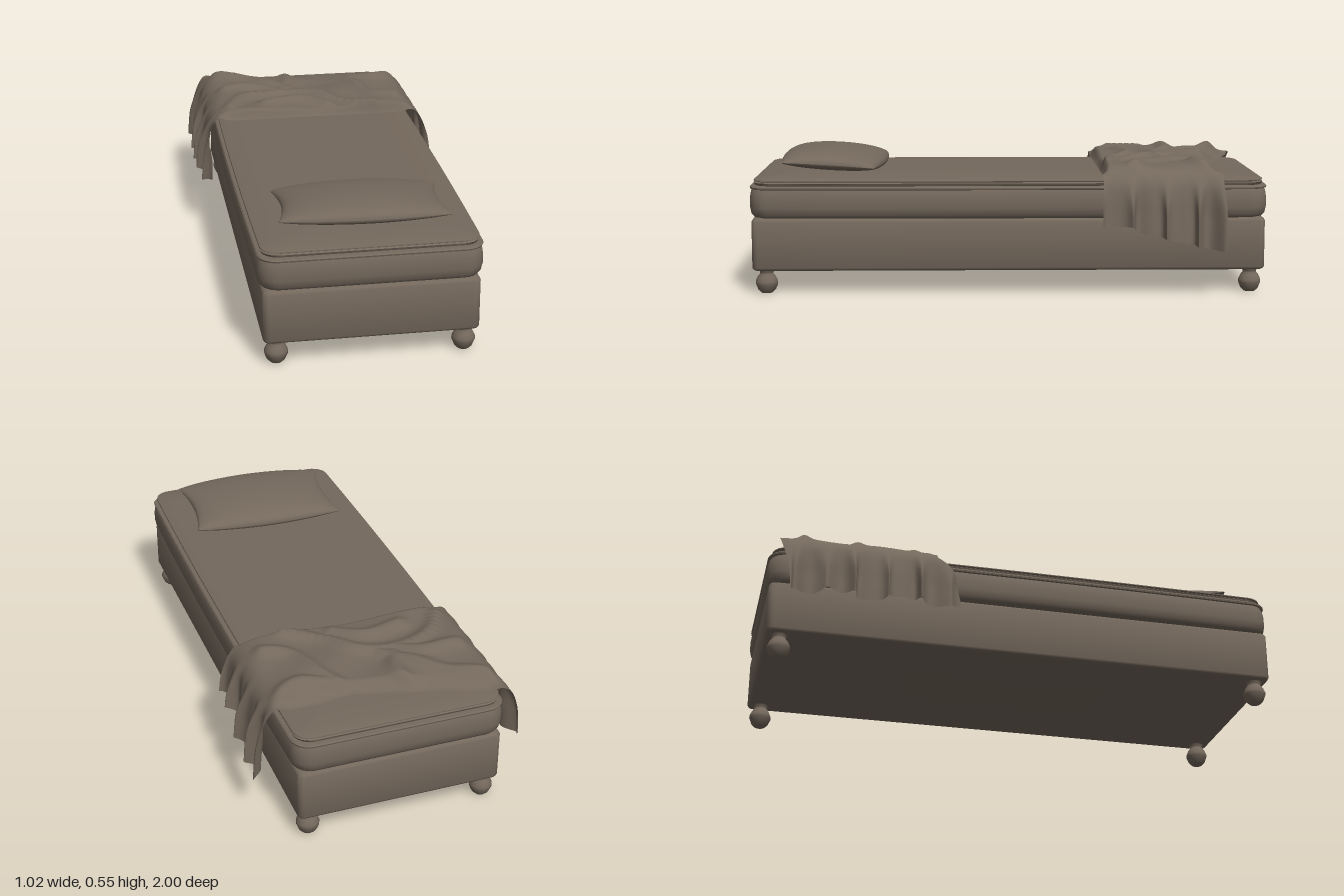
import * as THREE from 'three';
import { toCreasedNormals } from 'three/addons/utils/BufferGeometryUtils.js';

const taupe = new THREE.MeshStandardMaterial({ color: 0x74685c, side: THREE.DoubleSide });
taupe.name = 'taupe fabric';

function part(name, geometry, parent) {
  const mesh = new THREE.Mesh(geometry, taupe);
  mesh.name = name;
  parent.add(mesh);
  return mesh;
}

function indexed(positions, index) {
  const g = new THREE.BufferGeometry();
  g.setAttribute('position', new THREE.Float32BufferAttribute(positions, 3));
  g.setIndex(index);
  return g;
}

// Rounded rectangle outline in x/z, with extra points along the sides
function outline(hx, hz, r) {
  const pts = [];
  const corners = [[1, 1], [-1, 1], [-1, -1], [1, -1]];
  corners.forEach(([sx, sz], c) => {
    const arc = [];
    for (let i = 0; i <= 6; i++) {
      const a = (c + i / 6) * Math.PI / 2;
      arc.push([sx * (hx - r) + r * Math.cos(a), sz * (hz - r) + r * Math.sin(a)]);
    }
    pts.push(...arc);
    const [nx, nz] = corners[(c + 1) % 4];
    const a = (c + 1) * Math.PI / 2;
    const end = [nx * (hx - r) + r * Math.cos(a), nz * (hz - r) + r * Math.sin(a)];
    for (let i = 1; i < 8; i++) {
      pts.push([0, 1].map(k => arc[6][k] + (end[k] - arc[6][k]) * i / 8));
    }
  });
  return pts;
}

// Stack of rounded rectangles; profile rows are [y, inset]
function loft(profile, hx, hz, r, bulge = 0) {
  const pos = [], idx = [];
  let n = 0;
  for (const [y, inset] of profile) {
    const ring = outline(hx - inset, hz - inset, Math.max(r - inset * 0.5, 0.01));
    n = ring.length;
    for (const [x, z] of ring) pos.push(x * (1 + bulge * (1 - (z / hz) ** 2)), y, z);
  }
  const rows = profile.length, bottom = rows * n, top = bottom + 1;
  pos.push(0, profile[0][0], 0, 0, profile[rows - 1][0], 0);
  for (let i = 0; i < n; i++) {
    const j = (i + 1) % n;
    for (let k = 0; k < rows - 1; k++) {
      const a = k * n + i, b = k * n + j;
      idx.push(a, a + n, b, b, a + n, b + n);
    }
    idx.push(bottom, i, j, top, (rows - 1) * n + j, (rows - 1) * n + i);
  }
  return toCreasedNormals(indexed(pos, idx), 0.7);
}

// Pillow: two puffed sheets joined at a seam with pointed corners
function pillowGeometry() {
  const pos = [], idx = [], N = 28;
  for (const side of [1, -1]) {
    const start = pos.length / 3;
    for (let j = 0; j <= N; j++) for (let i = 0; i <= N; i++) {
      const u = Math.sin((i / N - 0.5) * Math.PI), v = Math.sin((j / N - 0.5) * Math.PI);
      const puff = Math.pow((1 - u * u) * (1 - v * v), 0.42);
      pos.push(u * (0.312 - 0.025 * (1 - v * v)), puff * (side > 0 ? 0.057 : -0.038),
        v * (0.177 + 0.025 * (1 - u * u)));
    }
    for (let j = 0; j < N; j++) for (let i = 0; i < N; i++) {
      const a = start + j * (N + 1) + i, b = a + 1, c = a + N + 1, d = c + 1;
      if (side > 0) idx.push(a, c, b, b, c, d);
      else idx.push(a, b, c, b, d, c);
    }
  }
  const g = indexed(pos, idx);
  g.computeVertexNormals();
  return g;
}

const lerp = THREE.MathUtils.lerp;
const smooth = THREE.MathUtils.smoothstep;

// Value at x on a line through [x, value] knots
function along(knots, x) {
  for (let i = 1; i < knots.length; i++) {
    const [x0, y0] = knots[i - 1], [x1, y1] = knots[i];
    if (x <= x1) return lerp(y0, y1, THREE.MathUtils.clamp((x - x0) / (x1 - x0), 0, 1));
  }
  return knots[knots.length - 1][1];
}

// Creases lying across the top of the throw, as x, z paths
const creases = [
  [[-0.36, -0.44], [-0.28, -0.55], [-0.12, -0.6], [0.02, -0.57], [0.1, -0.47], [0.24, -0.38]],
  [[-0.38, -0.87], [-0.24, -0.8], [-0.14, -0.7], [-0.06, -0.62]],
  [[-0.1, -0.86], [-0.07, -0.76], [-0.1, -0.64]],
  [[0.12, -0.8], [0.2, -0.68], [0.26, -0.52], [0.36, -0.48]],
  [[-0.36, -0.66], [-0.22, -0.66], [-0.12, -0.6]],
  [[-0.2, -0.46], [-0.05, -0.49], [0.06, -0.42]],
  [[0.2, -0.74], [0.3, -0.72], [0.4, -0.76]],
].map(path => new THREE.CatmullRomCurve3(path.map(([x, z]) => new THREE.Vector3(x, 0, z))).getPoints(24));

function creaseHeight(x, z) {
  let h = 0;
  for (const path of creases) {
    let d2 = 1;
    for (const p of path) d2 = Math.min(d2, (p.x - x) ** 2 + (p.z - z) ** 2);
    h = Math.max(h, Math.exp(-d2 / 0.0009));
  }
  return h * 0.02;
}

// Throw: a sheet draped over the mattress, pleated where it hangs
function throwGeometry() {
  const U = 100, V = 72, pos = [], idx = [];
  const drape = new THREE.CatmullRomCurve3([[0, 0.492], [0.2, 0.495], [0.32, 0.5], [0.39, 0.488],
    [0.435, 0.44], [0.458, 0.37], [0.47, 0.28], [0.478, 0.17]].map(([x, y]) => new THREE.Vector3(x, y, 0)));
  const front = [[-1, -0.26], [-0.8, -0.28], [-0.66, -0.36], [1, -0.36]];
  const back = [[-1, -0.93], [-0.64, -0.965], [0.16, -0.8], [0.35, -0.82], [1, -0.81]];
  for (let j = 0; j <= V; j++) for (let i = 0; i <= U; i++) {
    const u = i / U * 2 - 1, v = j / V, s = Math.sign(u) || 1;
    const z0 = lerp(along(front, u), along(back, u), v);
    // hem height differs on the two sides
    const hem = s > 0 ? along([[-0.81, 0.175], [-0.52, 0.25], [-0.47, 0.285], [-0.36, 0.28]], z0)
      : 0.235 + 0.015 * Math.sin(z0 * 23);
    const reach = lerp(1, 0.865, (hem - 0.17) / 0.11);
    const p = drape.getPointAt(Math.abs(u) * reach);
    const hang = 1 - smooth(p.y, 0.3, 0.48);
    const side = smooth(p.x, 0.36, 0.44);
    const pleat = Math.sin(z0 * 52 + s + 0.9 * Math.sin(z0 * 17)) + 0.4 * Math.sin(z0 * 95 + s * 2);
    const x = s * (p.x + side * 0.008 + hang * 0.02 * pleat);
    const z = z0 + hang * 0.014 * Math.cos(z0 * 52 + s);
    const edge = Math.min(smooth(v, 0, 0.05), smooth(1 - v, 0, 0.14));
    let y = p.y;
    const top = 1 - side;
    y += top * (creaseHeight(x, z) + 0.005 * Math.sin(x * 13 + z * 21) - 0.003);
    y = lerp(y, Math.min(y, 0.458), (1 - edge) * top);
    pos.push(x, y, z);
  }
  for (let j = 0; j < V; j++) for (let i = 0; i < U; i++) {
    const a = j * (U + 1) + i, b = a + 1, c = a + U + 1, d = c + 1;
    idx.push(a, b, c, b, d, c);
  }
  const g = indexed(pos, idx);
  g.computeVertexNormals();
  return g;
}

export function createModel() {
  const bed = new THREE.Group();
  bed.name = 'bed';

  // Box base
  part('base', loft([[0.09, 0.012], [0.094, 0.004], [0.102, 0], [0.28, 0], [0.288, 0.004],
    [0.293, 0.014]], 0.393, 0.99, 0.025), bed).position.x = -0.005;

  // Mattress with piped edge
  part('mattress', loft([[0.293, 0.03], [0.298, 0.014], [0.31, 0.005], [0.335, 0], [0.37, 0],
    [0.395, 0.004], [0.405, 0.008], [0.407, 0.002], [0.413, 0], [0.418, 0.004], [0.42, 0.03]],
  0.405, 0.998, 0.07, 0.03), bed).position.x = -0.005;

  // Soft top layer
  part('mattressTopper', loft([[0.415, 0.03], [0.421, 0.016], [0.43, 0.012], [0.434, 0.018],
    [0.437, 0.012], [0.441, 0.013], [0.444, 0.024], [0.448, 0.05], [0.454, 0.12], [0.456, 0.2]],
  0.405, 0.995, 0.07, 0.03), bed).position.x = -0.005;

  // Turned feet
  const footProfile = [[0, 0], [0.022, 0], [0.034, 0.012], [0.043, 0.034], [0.043, 0.046], [0.035, 0.064],
    [0.026, 0.074], [0.027, 0.082], [0.033, 0.094]].map(([x, y]) => new THREE.Vector2(x, y));
  const foot = new THREE.LatheGeometry(footProfile, 14);
  for (const x of [-0.348, 0.338]) for (const z of [-0.938, 0.938]) {
    part('foot', foot, bed).position.set(x, 0, z);
  }

  // Pillow, slightly turned and tilted
  const pillow = part('pillow', pillowGeometry(), bed);
  pillow.position.set(-0.003, 0.488, 0.687);
  pillow.rotation.set(-0.06, -0.04, 0);

  part('throwBlanket', throwGeometry(), bed);
  return bed;
}
